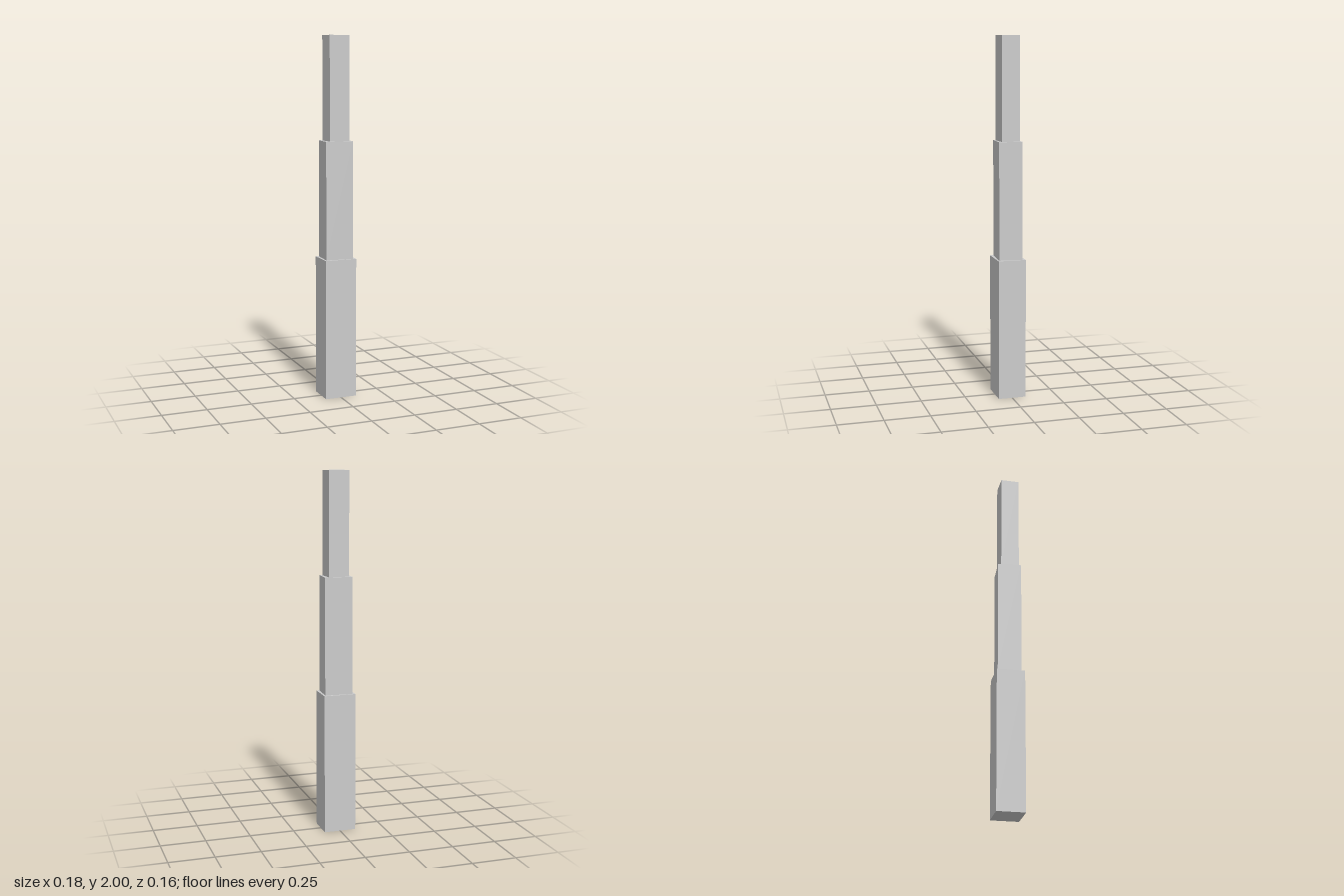
import * as THREE from 'three';

export function createModel() {
  const group = new THREE.Group();
  group.name = 'steppedTower';
  const material = new THREE.MeshStandardMaterial({ color: 0xcccccc, flatShading: true });

  // Stacked blocks, each narrower and slightly twisted
  const tiers = [
    { name: 'lowerBlock', width: 0.18, depth: 0.155, bottom: 0, top: 0.782, twist: 0 },
    { name: 'middleBlock', width: 0.154, depth: 0.13, bottom: 0.782, top: 1.431, twist: -0.058 },
    { name: 'upperBlock', width: 0.116, depth: 0.102, bottom: 1.431, top: 2, twist: 0.028 },
  ];

  for (const { name, width, depth, bottom, top, twist } of tiers) {
    const block = new THREE.Mesh(new THREE.BoxGeometry(width, top - bottom, depth), material);
    block.name = name;
    block.position.y = (bottom + top) / 2;
    block.rotation.y = twist;
    group.add(block);
  }
  return group;
}
